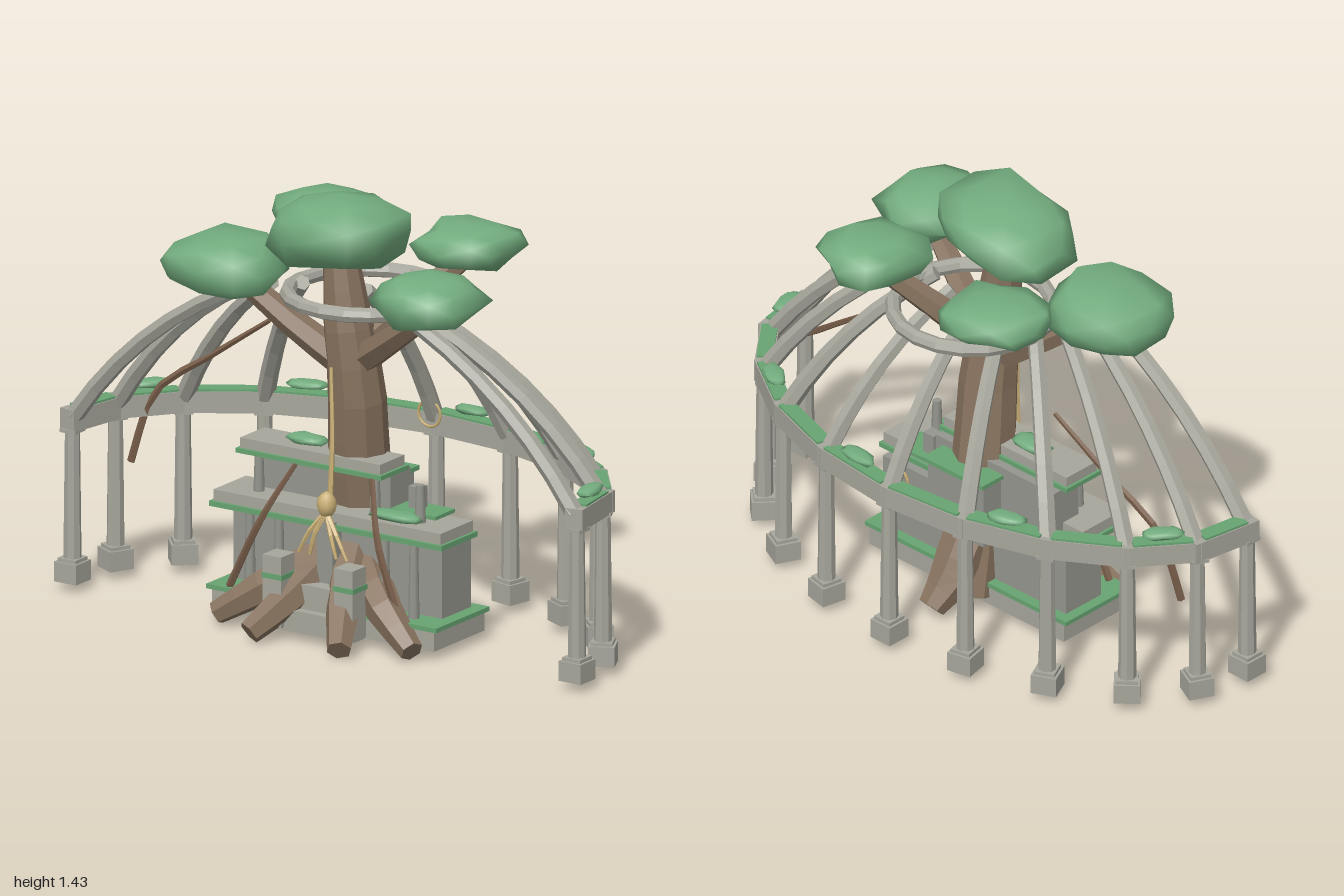
import * as THREE from 'three';
import { mergeVertices } from 'three/addons/utils/BufferGeometryUtils.js';

const mat = (name, color) => {
  const m = new THREE.MeshStandardMaterial({ color });
  m.name = name;
  return m;
};
const V = (p) => new THREE.Vector3(...p);

export function createModel() {
  const model = new THREE.Group();
  model.name = 'treePavilion';
  const stone = mat('stone', 0xa6a69c);
  const wallStone = mat('wall stone', 0x96968f);
  const bark = mat('bark', 0x87725e);
  const vineBrown = mat('vine brown', 0x785d49);
  const leaf = mat('leaf green', 0x73ac7e);
  const moss = mat('moss green', 0x68a472);
  const gold = mat('gold', 0xcbb177);

  let seed = 7;
  const rnd = () => (seed = (seed * 16807) % 2147483647) / 2147483647;

  const add = (name, geo, m, parent = model) => {
    const mesh = new THREE.Mesh(geo, m);
    mesh.name = name;
    parent.add(mesh);
    return mesh;
  };
  const group = (name) => {
    const g = new THREE.Group();
    g.name = name;
    model.add(g);
    return g;
  };
  // Box given by its min and max on each axis
  const box = (name, [x0, x1], [y0, y1], [z0, z1], m, parent) => {
    const b = add(name, new THREE.BoxGeometry(x1 - x0, y1 - y0, z1 - z0), m, parent);
    b.position.set((x0 + x1) / 2, (y0 + y1) / 2, (z0 + z1) / 2);
    return b;
  };

  // Tapered, capped, faceted limb along a smooth path
  const limb = (name, curve, radii, sides, steps, m, parent) => {
    const tube = new THREE.TubeGeometry(curve, steps, 1, sides, false);
    const p = Array.from(tube.attributes.position.array);
    const idx = Array.from(tube.index.array);
    for (let i = 0; i <= steps; i++) {
      const c = curve.getPointAt(i / steps).toArray();
      const f = (i / steps) * (radii.length - 1);
      const k = Math.min(Math.floor(f), radii.length - 2);
      const r = THREE.MathUtils.lerp(radii[k], radii[k + 1], f - k);
      for (let j = 0; j <= sides; j++) {
        const o = (i * (sides + 1) + j) * 3;
        for (let a = 0; a < 3; a++) p[o + a] = c[a] + (p[o + a] - c[a]) * r;
      }
    }
    const n = p.length / 3, last = steps * (sides + 1);
    p.push(...curve.getPointAt(0).toArray(), ...curve.getPointAt(1).toArray());
    for (let j = 0; j < sides; j++) idx.push(n, j, j + 1, n + 1, last + j + 1, last + j);
    const g = new THREE.BufferGeometry();
    g.setAttribute('position', new THREE.Float32BufferAttribute(p, 3));
    g.setIndex(idx);
    const flat = g.toNonIndexed();
    flat.computeVertexNormals();
    return add(name, flat, m, parent);
  };
  const path = (...pts) => new THREE.CatmullRomCurve3(pts.map(V));

  // Irregular clump; a power below 1 makes it fuller than an ellipsoid
  const clump = (name, pos, size, m, parent, rough = 0.15, power = 0.8) => {
    let g = new THREE.IcosahedronGeometry(1, 1);
    g.deleteAttribute('normal');
    g.deleteAttribute('uv');
    g = mergeVertices(g, 1e-4);
    const a = g.attributes.position;
    const full = (v) => Math.sign(v) * Math.abs(v) ** power;
    for (let i = 0; i < a.count; i++) {
      const s = 1 + (rnd() - 0.5) * 2 * rough;
      a.setXYZ(i, full(a.getX(i)) * s * size[0], full(a.getY(i)) * s * size[1], full(a.getZ(i)) * s * size[2]);
    }
    g.computeVertexNormals();
    const mesh = add(name, g, m, parent);
    mesh.position.set(...pos);
    return mesh;
  };

  // Half-elliptical colonnade with curved ribs
  const CZ = 0.23, N = 10;
  const at = (i, f = 1) => {
    const t = (i / N) * Math.PI;
    return [THREE.MathUtils.clamp(0.97 * Math.cos(t), -0.955, 0.955) * f, CZ - 0.62 * Math.sin(t) * f];
  };
  const colonnade = group('colonnade');
  for (let i = 0; i <= N; i++) {
    const [x, z] = at(i);
    const turn = Math.atan2(x / 0.9, (z - CZ) / 0.38);
    const place = (name, geo, y) => {
      const b = add(name, geo, stone, colonnade);
      b.position.set(x, y, z);
      b.rotation.y = turn;
    };
    place('columnBase', new THREE.BoxGeometry(0.084, 0.065, 0.084), 0.07);
    place('columnFoot', new THREE.BoxGeometry(0.068, 0.012, 0.068), 0.108);
    const shaft = new THREE.CylinderGeometry(0.024, 0.029, 0.42, 8).toNonIndexed();
    shaft.computeVertexNormals();
    place('columnShaft', shaft, 0.322);
    place('columnCap', new THREE.BoxGeometry(0.058, 0.012, 0.058), 0.53);

    const pt = (f, y) => { const [a, b] = at(i, f); return new THREE.Vector3(a, y, b); };
    const rib = new THREE.QuadraticBezierCurve3(pt(0.99, 0.58), pt(0.75, 0.91), pt(0.37, 1.09));
    limb('rib', rib, [0.03, 0.025], 6, 6, stone, colonnade);

    if (i < N) {
      const [x2, z2] = at(i + 1);
      const len = Math.hypot(x2 - x, z2 - z);
      const turnSpan = -Math.atan2(z2 - z, x2 - x);
      const span = (name, y, h, w, l, m) => {
        const b = add(name, new THREE.BoxGeometry(l, h, w), m, colonnade);
        b.position.set((x + x2) / 2, y, (z + z2) / 2);
        b.rotation.y = turnSpan;
      };
      const atEnd = i === 0 || i === N - 1;
      span('beam', 0.566, 0.07, 0.06, len + (atEnd ? 0.05 : 0.022), stone);
      span('beamMoss', 0.604, 0.008, 0.052, len - 0.03, moss);
      if (i % 2 === 0) {
        const pad = clump('beamLeafPad', [(x + x2) / 2, 0.63, (z + z2) / 2], [0.064, 0.014, 0.032], leaf, colonnade);
        pad.rotation.y = turnSpan;
      }
    }
  }

  // Crown ring
  const ring = add('crownRing', new THREE.TorusGeometry(0.253, 0.025, 8, 20).toNonIndexed(), stone);
  ring.geometry.computeVertexNormals();
  ring.rotation.x = Math.PI / 2;
  ring.position.set(0, 1.08, -0.01);

  // Tree
  const tree = group('tree');
  limb('trunk', path([0, 0.06, -0.03], [0.01, 0.3, 0.02], [0.01, 0.55, 0.055], [0.02, 0.8, 0.085],
    [0, 1.0, 0.1], [-0.03, 1.23, 0.1]), [0.105, 0.1, 0.1, 0.094, 0.08, 0.056], 9, 10, bark, tree);
  const branches = [
    [[0, 0.86, 0.08], [-0.18, 0.98, 0.13], [-0.39, 1.14, 0.18]],
    [[0.02, 0.88, 0.08], [0.2, 1.0, 0.15], [0.4, 1.14, 0.21]],
    [[0, 0.92, 0.06], [-0.13, 1.06, -0.06], [-0.27, 1.21, -0.2]],
    [[0.01, 0.92, 0.06], [0.13, 1.06, -0.06], [0.26, 1.2, -0.18]],
  ];
  for (const b of branches) limb('branch', path(...b), [0.055, 0.033], 6, 4, bark, tree);
  for (const s of [-1, 1]) {
    limb('sideRoot', path([s * 0.04, 0.25, 0.08], [s * 0.21, 0.15, 0.22], [s * 0.37, 0.045, 0.29]),
      [0.075, 0.062, 0.038], 6, 5, bark, tree);
    limb('frontRoot', path([s * 0.03, 0.27, 0.1], [s * 0.1, 0.14, 0.27], [s * 0.17, 0.042, 0.4]),
      [0.075, 0.062, 0.04], 6, 5, bark, tree);
  }
  limb('backRoot', path([0, 0.28, -0.01], [0, 0.14, -0.1], [0.01, 0.05, -0.19]), [0.085, 0.08, 0.045], 7, 5, bark, tree);
  const foliage = [
    [[-0.01, 1.32, 0.13], [0.245, 0.113, 0.2]],
    [[-0.4, 1.16, 0.18], [0.195, 0.095, 0.165]],
    [[0.4, 1.18, 0.23], [0.16, 0.085, 0.17]],
    [[-0.28, 1.25, -0.2], [0.16, 0.068, 0.15]],
    [[0.27, 1.24, -0.18], [0.16, 0.075, 0.155]],
  ];
  for (const [p, s] of foliage) clump('foliage', p, s, leaf, tree);

  // Terraced shrine around the trunk
  const shrine = group('shrine');
  box('baseSlab', [-0.42, 0.42], [0.04, 0.105], [-0.04, 0.24], stone, shrine);
  box('baseMoss', [-0.435, 0.435], [0.105, 0.12], [-0.045, 0.25], moss, shrine);
  box('lowerWall', [-0.4, 0.39], [0.12, 0.365], [-0.01, 0.15], wallStone, shrine);
  box('counterMoss', [-0.445, 0.435], [0.365, 0.382], [0.02, 0.22], moss, shrine);
  box('counter', [-0.435, 0.425], [0.382, 0.418], [0.03, 0.21], stone, shrine);
  box('upperWall', [-0.35, 0.16], [0.365, 0.54], [-0.01, 0.1], wallStone, shrine);
  box('shelfMoss', [-0.375, 0.175], [0.54, 0.555], [0.02, 0.175], moss, shrine);
  box('shelf', [-0.365, 0.165], [0.555, 0.588], [0.03, 0.165], stone, shrine);
  box('rearBlock', [-0.12, 0.12], [0.28, 0.5], [-0.09, 0], wallStone, shrine);
  box('rearMoss', [-0.13, 0.13], [0.5, 0.515], [-0.105, 0], moss, shrine);
  box('sideLedge', [0.16, 0.33], [0.418, 0.43], [-0.01, 0.1], moss, shrine);
  box('chimney', [0.2, 0.245], [0.43, 0.5], [0.02, 0.06], wallStone, shrine);
  const post = (x, y0, y1, z) => {
    const c = add('post', new THREE.CylinderGeometry(0.014, 0.018, y1 - y0, 8), wallStone, shrine);
    c.position.set(x, (y0 + y1) / 2, z);
  };
  for (const s of [-1, 1]) {
    post(s * 0.31, 0.12, 0.365, 0.19);
    post(s * 0.2, 0.12, 0.365, 0.19);
    // Gate pillars beside the steps
    const x = s * 0.135;
    box('gatePillar', [x - 0.035, x + 0.035], [0.05, 0.28], [0.25, 0.325], stone, shrine);
    box('pillarBand', [x - 0.038, x + 0.038], [0.205, 0.222], [0.247, 0.328], moss, shrine);
  }
  for (const x of [-0.31, 0.13, 0.3]) post(x, 0.418, 0.54, 0.14);
  box('lowerStep', [-0.16, 0.16], [0.04, 0.11], [0.2, 0.31], stone, shrine);
  box('upperStep', [-0.14, 0.14], [0.11, 0.19], [0.2, 0.28], stone, shrine);
  box('pedestal', [-0.03, 0.03], [0.19, 0.39], [0.18, 0.23], wallStone, shrine);
  clump('counterLeaves', [0.225, 0.435, 0.17], [0.1, 0.014, 0.04], leaf, shrine);
  clump('shelfLeaves', [-0.16, 0.6, 0.09], [0.07, 0.016, 0.04], leaf, shrine);

  // Hanging lantern with rope and tassels, and the gold hoop at the back
  const lantern = group('lantern');
  limb('rope', path([0, 0.45, 0.2], [0.005, 0.65, 0.195], [-0.01, 0.88, 0.18]), [0.01, 0.006], 5, 5, gold, lantern);
  clump('lanternBody', [0, 0.445, 0.22], [0.032, 0.042, 0.032], gold, lantern, 0.04, 1);
  for (const x of [-0.09, -0.05, 0.05, 0.09])
    limb('tassel', path([0, 0.42, 0.22], [x * 0.6, 0.35, 0.24], [x, 0.28, 0.24]), [0.01, 0.006], 5, 4, gold, lantern);
  const hoop = add('hoop', new THREE.TorusGeometry(0.042, 0.005, 5, 16), gold, lantern);
  hoop.position.set(0, 0.6, -0.35);

  // Vines
  const vines = [
    [[-0.42, 0.9, -0.08], [-0.62, 0.76, -0.06], [-0.82, 0.61, -0.03], [-0.89, 0.38, 0.0]],
    [[0.4, 0.91, -0.08], [0.62, 0.75, -0.06], [0.84, 0.58, -0.03], [0.9, 0.37, 0.02]],
    [[-0.15, 0.54, 0.17], [-0.24, 0.36, 0.23], [-0.36, 0.12, 0.23]],
    [[0.14, 0.54, 0.17], [0.2, 0.36, 0.23], [0.28, 0.12, 0.23]],
  ];
  for (const v of vines) limb('vine', path(...v), [0.008, 0.012, 0.013], 5, 8, vineBrown);

  return model;
}
